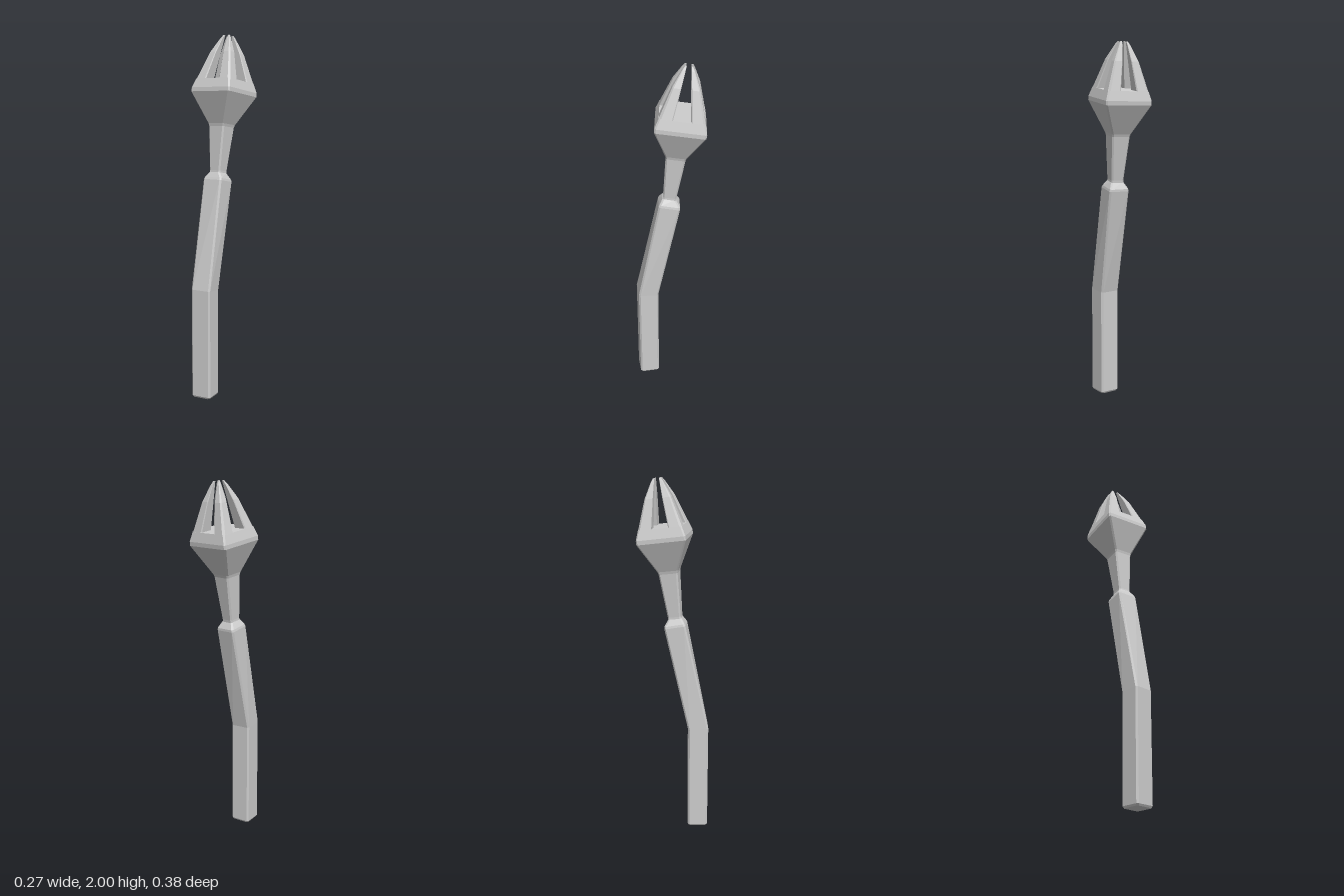
import * as THREE from 'three';

const material = new THREE.MeshStandardMaterial({ color: 0xcccccc, flatShading: true });

// Places a flat [x, z] section at a centre, turned by yaw and leaned back by tilt.
function place(section, [x, y, z], tilt, yaw) {
  const turn = new THREE.Euler(-tilt, yaw, 0, 'XYZ');
  const centre = new THREE.Vector3(x, y, z);
  return section.map(([px, pz]) => new THREE.Vector3(px, 0, pz).applyEuler(turn).add(centre));
}

// Square section with chamfered corners.
function square(h, c) {
  const k = h - c;
  return [[-k, h], [k, h], [h, k], [h, -k], [k, -h], [-k, -h], [-h, -k], [-h, k]];
}

// Skins a stack of rings, with both ends capped.
function loft(name, rings) {
  const pos = [];
  const tri = (...pts) => pts.forEach((p) => pos.push(p.x, p.y, p.z));
  const n = rings[0].length;
  for (let r = 0; r < rings.length - 1; r++) {
    const a = rings[r], b = rings[r + 1];
    for (let i = 0; i < n; i++) {
      const j = (i + 1) % n;
      tri(a[i], a[j], b[j]);
      tri(a[i], b[j], b[i]);
    }
  }
  const first = rings[0], last = rings[rings.length - 1];
  for (let i = 1; i < n - 1; i++) {
    tri(first[0], first[i + 1], first[i]);
    tri(last[0], last[i], last[i + 1]);
  }
  const geometry = new THREE.BufferGeometry();
  geometry.setAttribute('position', new THREE.Float32BufferAttribute(pos, 3));
  geometry.computeVertexNormals();
  const mesh = new THREE.Mesh(geometry, material);
  mesh.name = name;
  return mesh;
}

export function createModel() {
  const model = new THREE.Group();
  model.name = 'prongedStaff';

  // Bent handle: centre, half width, tilt, yaw
  const handle = [
    [[0.007, 0, 0.13], 0.051, 0, 0.17],
    [[0.007, 0.01, 0.13], 0.057, 0, 0.17],
    [[0.007, 0.61, 0.13], 0.057, 0.09, 0.17],
    [[0, 1.205, 0.003], 0.059, 0.18, 0.04],
    [[0, 1.217, 0], 0.056, 0.18, 0.04],
    [[0, 1.25, 0.002], 0.036, 0.13, 0],
  ];
  model.add(loft('handle', handle.map(([c, h, t, y]) => place(square(h, 0.009), c, t, y))));

  // Leaning head axis
  const lean = 0.127;
  const headYaw = -0.015;
  const axis = (y) => [0, y, -(y - 1.25) * lean];

  // Neck flaring into the head, flat floor on top
  const head = [
    [1.24, 0.037], [1.26, 0.036], [1.5, 0.052], [1.515, 0.056],
    [1.678, 0.132], [1.7, 0.132], [1.75, 0.117],
  ];
  model.add(loft('head', head.map(([y, h]) => place(square(h, 0.008), axis(y), lean, headYaw))));

  // Four corner prongs: height, outer half width, slot half width
  const levels = [[1.735, 0.121, 0.047], [1.9, 0.07, 0.025], [1.98, 0.032, 0.0145], [1.998, 0.021, 0.012]];
  const prongs = new THREE.Group();
  prongs.name = 'prongs';
  for (let q = 0; q < 4; q++) {
    const rings = levels.map(([y, w, s]) => {
      const c = (w - s) * 0.16, e = (w - s) * 0.08;
      let section = [[s, w - e], [s + e, w], [w - c, w], [w, w - c], [w, s + e], [w - e, s], [s, s]];
      for (let k = 0; k < q; k++) section = section.map(([x, z]) => [z, -x]);
      return place(section, axis(y), lean, headYaw);
    });
    prongs.add(loft('prong', rings));
  }
  model.add(prongs);
  return model;
}
